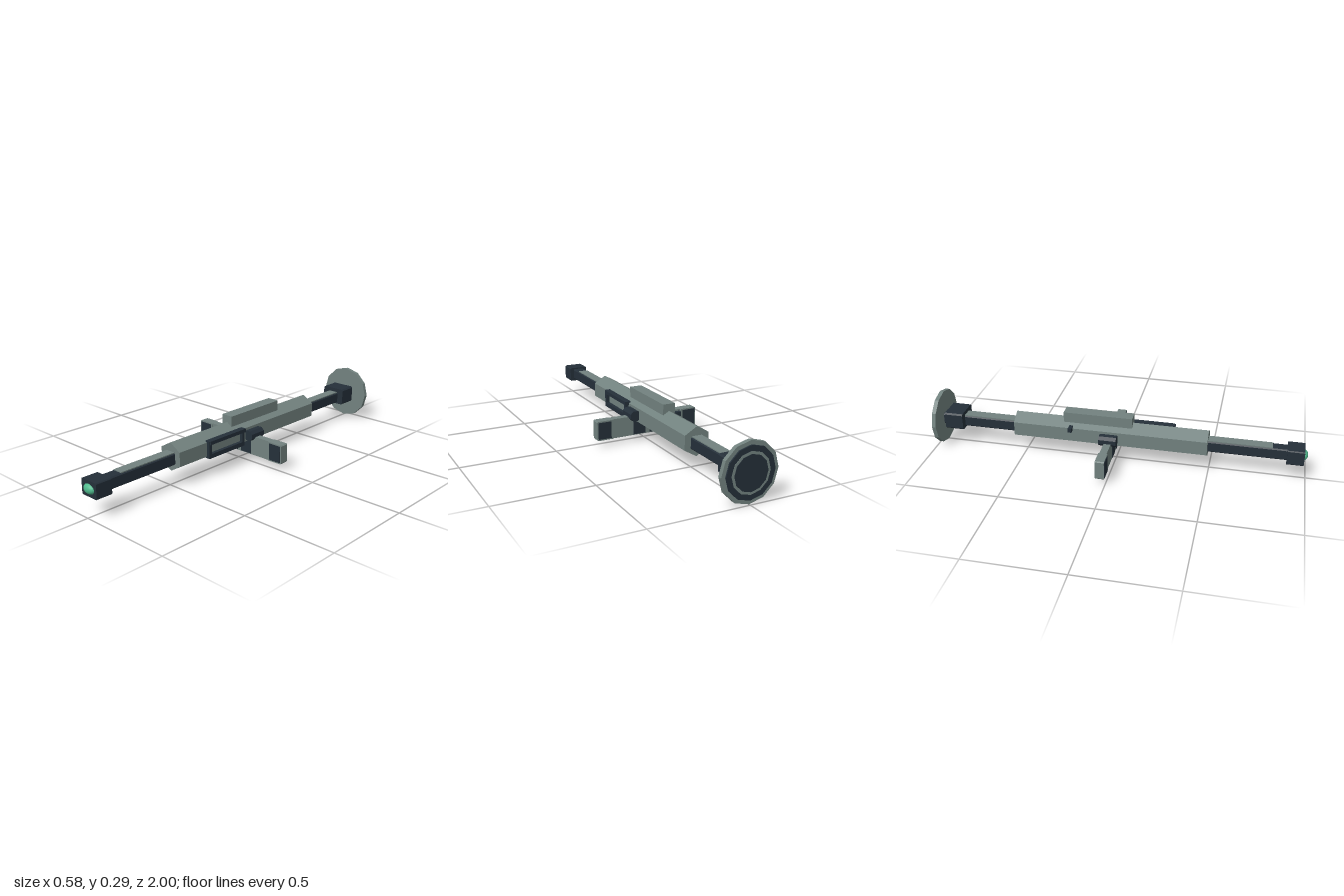
import * as THREE from 'three';

const mat = (name, color) => {
  const m = new THREE.MeshStandardMaterial({ color });
  m.name = name;
  return m;
};

export function createModel() {
  const root = new THREE.Group();
  const grey = mat('grey metal', 0x72827f);
  const dark = mat('dark metal', 0x25303a);
  const green = mat('green glass', 0x4fb98c);

  const add = (name, geo, m, x = 0, y = 0, z = 0) => {
    const mesh = new THREE.Mesh(geo, m);
    mesh.name = name;
    mesh.position.set(x, y, z);
    root.add(mesh);
    return mesh;
  };
  // box given by its limits
  const box = (name, m, x0, x1, y0, y1, z0, z1) =>
    add(name, new THREE.BoxGeometry(x1 - x0, y1 - y0, z1 - z0), m,
      (x0 + x1) / 2, (y0 + y1) / 2, (z0 + z1) / 2);
  // outline in x,y extruded from z0 to z1
  const prism = (name, m, pts, z0, z1) =>
    add(name, new THREE.ExtrudeGeometry(new THREE.Shape(pts.map(p => new THREE.Vector2(...p))),
      { depth: z1 - z0, bevelEnabled: false }), m, 0, 0, z0);
  // rectangle with cut corners
  const cutRect = (x0, x1, y0, y1, c) => [
    [x0 + c, y0], [x1 - c, y0], [x1, y0 + c], [x1, y1 - c],
    [x1 - c, y1], [x0 + c, y1], [x0, y1 - c], [x0, y0 + c]];
  const ngon = (n, r, y) => Array.from({ length: n }, (_, i) => {
    const a = Math.PI / 2 + i / n * Math.PI * 2;
    return [Math.cos(a) * r, y + Math.sin(a) * r];
  });

  // hexagonal body with a rail on top
  prism('body', grey, ngon(6, 0.075, 0.148), -0.55, 0.49);
  box('topRail', grey, -0.033, 0.033, 0.19, 0.26, -0.28, 0.09);

  // dark shafts with grey strips along the top
  prism('frontShaft', dark, cutRect(-0.032, 0.032, 0.112, 0.173, 0.006), 0.48, 0.91);
  prism('rearShaft', dark, cutRect(-0.032, 0.032, 0.112, 0.173, 0.006), -0.975, -0.54);
  box('frontShaftStrip', grey, -0.027, 0.027, 0.168, 0.177, 0.48, 0.82);
  box('rearShaftStrip', grey, -0.027, 0.027, 0.168, 0.177, -0.85, -0.54);

  // muzzle and lens
  prism('muzzle', dark, cutRect(-0.053, 0.053, 0.1, 0.181, 0.005), 0.895, 0.982);
  const lens = add('lens', new THREE.SphereGeometry(1, 20, 12), green, 0, 0.14, 0.976);
  lens.scale.set(0.038, 0.026, 0.024);

  // rear collar and round end plate
  prism('rearCollar', dark, cutRect(-0.068, 0.068, 0.105, 0.198, 0.008), -0.945, -0.845);
  prism('endPlate', grey, ngon(12, 0.147, 0.148), -0.99, -0.968);
  prism('endPlateOuterDisc', dark, ngon(12, 0.127, 0.148), -0.997, -0.989);
  prism('endPlateRing', grey, ngon(12, 0.1, 0.148), -0.9985, -0.996);
  prism('endPlateCentre', dark, ngon(12, 0.087, 0.148), -1, -0.998);

  // crossbar with thicker ends and dark pads on both faces
  const zc = -0.027;
  prism('crossbar', grey, cutRect(-0.285, 0.285, 0.036, 0.14, 0.004), zc - 0.019, zc + 0.019);
  for (const s of [-1, 1]) {
    const span = (a, b) => (s > 0 ? [a, b] : [-b, -a]);
    prism('crossbarEnd', grey, cutRect(...span(0.2, 0.292), 0.036, 0.14, 0.005), zc - 0.024, zc + 0.024);
    for (const f of [-1, 1]) {
      const z = zc + f * 0.024, zi = zc + f * 0.02;
      box('endPad', dark, ...span(0.212, 0.285), 0.043, 0.133, z - 0.002, z + 0.002);
      box('innerPad', dark, ...span(0.013, 0.082), 0.04, 0.136, zi - 0.002, zi + 0.002);
    }
    // side pivots
    prism('sidePivot', dark, cutRect(...span(0.055, 0.112), 0.121, 0.175, 0.015), -0.075, 0.018);
  }

  // open frame on the left flank, seen as a rectangular loop
  box('sideFrameTop', dark, 0.055, 0.088, 0.176, 0.195, 0.04, 0.3);
  box('sideFrameBottom', dark, 0.055, 0.084, 0.102, 0.125, 0.05, 0.305);
  box('sideFrameFront', dark, 0.055, 0.084, 0.102, 0.195, 0.287, 0.305);
  box('sideFrameRear', dark, 0.055, 0.084, 0.102, 0.195, 0.045, 0.062);

  // small knob on the right flank
  box('sideKnob', dark, -0.09, -0.05, 0.173, 0.196, -0.245, -0.225);

  return root;
}
